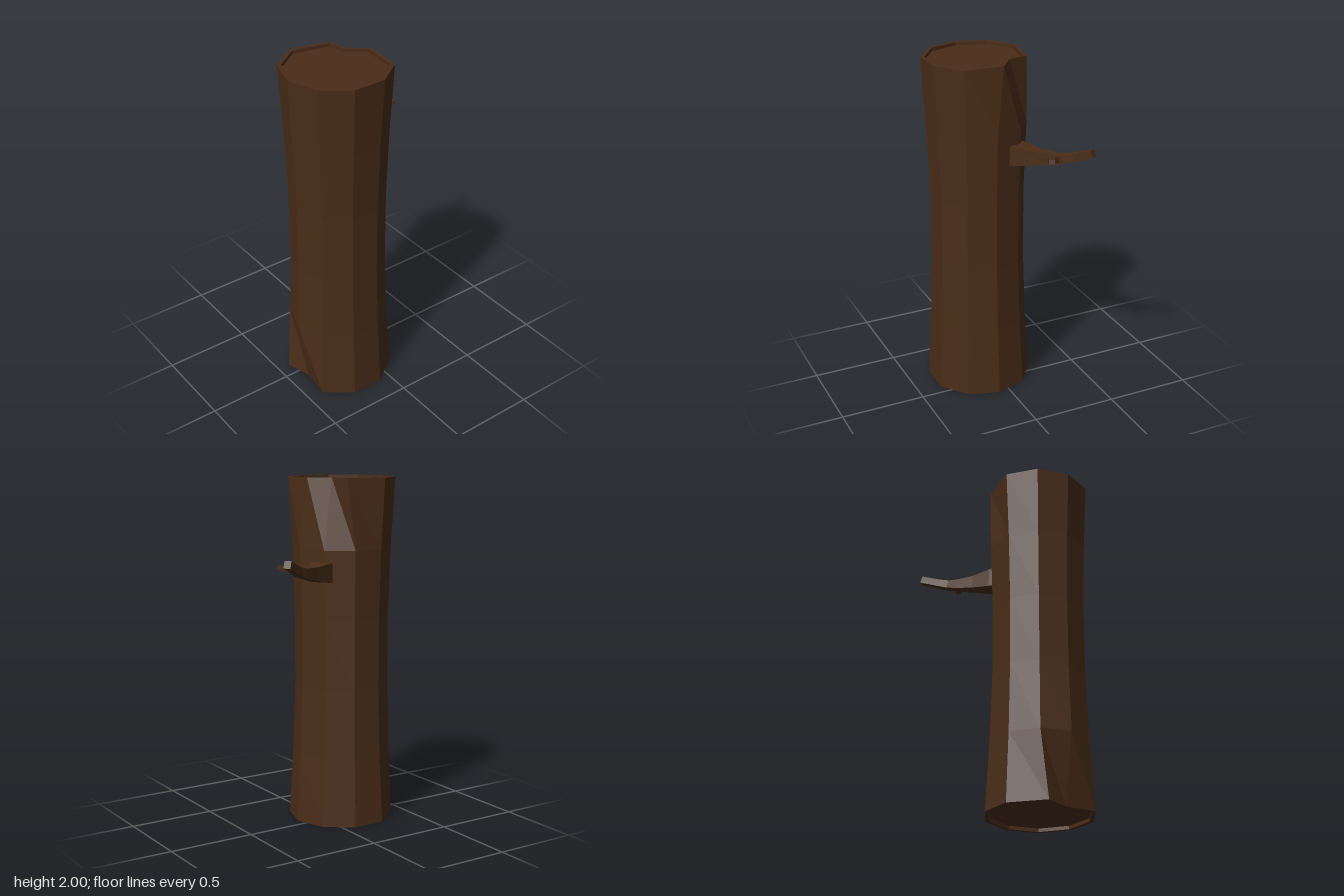
import * as THREE from 'three';

const bark = new THREE.MeshStandardMaterial({ color: 0x4a2d18, flatShading: true, roughness: 1 });
const V = (x, y, z) => new THREE.Vector3(x, y, z);

// Skin a list of equal-length rings and close both ends with fans
function loft(name, rings) {
  const pos = [];
  const tri = (...pts) => pts.forEach((p) => pos.push(p.x, p.y, p.z));
  const n = rings[0].length;
  const middle = (ring) => ring.reduce((sum, p) => sum.add(p), V(0, 0, 0)).divideScalar(n);
  const first = rings[0], last = rings[rings.length - 1];
  const c0 = middle(first), c1 = middle(last);
  for (let j = 0; j < n; j++) {
    const k = (j + 1) % n;
    for (let i = 0; i < rings.length - 1; i++) {
      const a = rings[i][j], b = rings[i][k], c = rings[i + 1][k], d = rings[i + 1][j];
      tri(a, d, c);
      tri(a, c, b);
    }
    tri(c0, first[j], first[k]);
    tri(c1, last[k], last[j]);
  }
  const geometry = new THREE.BufferGeometry();
  geometry.setAttribute('position', new THREE.Float32BufferAttribute(pos, 3));
  geometry.computeVertexNormals();
  const mesh = new THREE.Mesh(geometry, bark);
  mesh.name = name;
  return mesh;
}

// Four-sided limb; each section is [x, y, z, half width, half height]
function limb(name, sections) {
  const centres = sections.map(([x, y, z]) => V(x, y, z));
  const up = V(0, 1, 0);
  const rings = sections.map(([, , , w, h], i) => {
    const dir = centres[Math.min(i + 1, centres.length - 1)].clone().sub(centres[Math.max(i - 1, 0)]);
    const side = dir.clone().cross(up).normalize();
    const top = side.clone().cross(dir).normalize();
    return [[1, 1], [-1, 1], [-1, -1], [1, -1]].map(([s, t]) =>
      centres[i].clone().addScaledVector(side, s * w).addScaledVector(top, t * h));
  });
  return loft(name, rings);
}

export function createModel() {
  const model = new THREE.Group();
  model.name = 'treeTrunk';

  // Ten-sided trunk with dented corners at both ends: corner index -> [x, z] from the axis
  const sides = 10, cx = -0.16, cz = 0.065;
  const topDent = { 0: [0.265, -0.045], 9: [0.155, -0.13], 8: [0.13, -0.245] };
  const bottomDent = { 5: [-0.224, 0], 6: [-0.268, -0.145] };
  const ring = (y, radius, dent = {}, scale = 1) => Array.from({ length: sides }, (_, j) => {
    const a = (j / sides) * Math.PI * 2;
    const [x, z] = dent[j] || [radius * Math.cos(a), radius * Math.sin(a)];
    return V(cx + x * scale, y, cz + z * scale);
  });
  const R = 0.307, inset = 0.925, recess = 0.02;
  model.add(loft('trunk', [
    // recessed underside and rim
    ring(recess, R, bottomDent, inset),
    ring(0, R, bottomDent, inset),
    ring(0, R, bottomDent),
    // waisted bark
    ring(0.4, 0.284),
    ring(0.8, 0.271),
    ring(1.2, 0.271),
    ring(1.6, 0.284),
    // rim and recessed cut face
    ring(2, R, topDent),
    ring(2, R, topDent, inset),
    ring(2 - recess, R, topDent, inset),
  ]));

  // Tapering branch that bends up and back
  model.add(limb('branch', [
    [0.0, 1.475, -0.035, 0.065, 0.064],
    [0.08, 1.477, -0.087, 0.058, 0.055],
    [0.175, 1.482, -0.15, 0.036, 0.039],
    [0.27, 1.497, -0.208, 0.025, 0.028],
    [0.325, 1.511, -0.236, 0.023, 0.024],
    [0.367, 1.526, -0.278, 0.021, 0.022],
    [0.457, 1.567, -0.342, 0.02, 0.021],
  ]));

  // Small side twig
  model.add(limb('twig', [
    [0.295, 1.503, -0.215, 0.024, 0.018],
    [0.318, 1.51, -0.164, 0.019, 0.016],
    [0.39, 1.53, -0.128, 0.016, 0.012],
  ]));

  return model;
}
